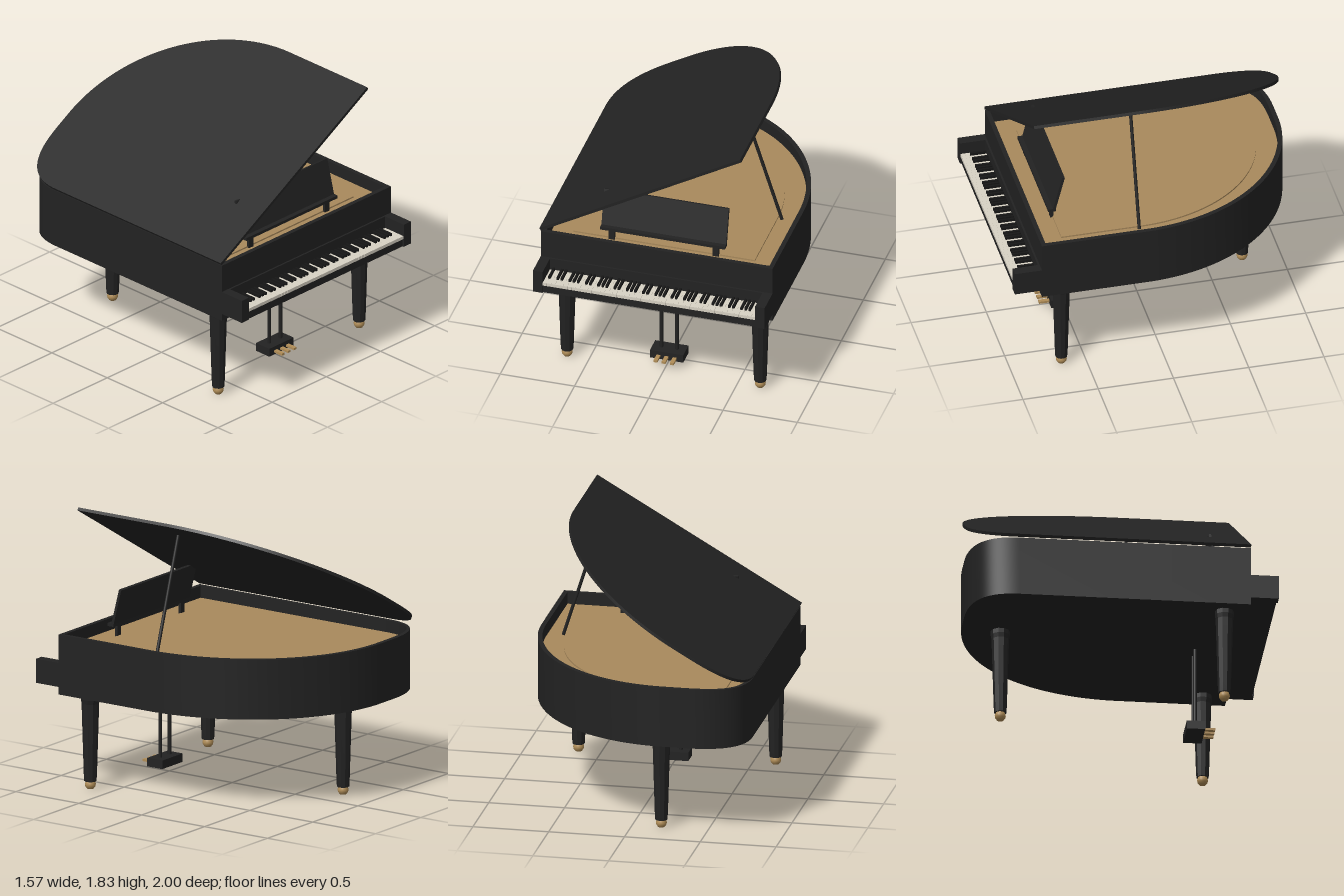
import * as THREE from 'three';
import { toCreasedNormals } from 'three/addons/utils/BufferGeometryUtils.js';

const material = (name, color) => {
  const m = new THREE.MeshStandardMaterial({ color });
  m.name = name;
  return m;
};

// Wing-shaped case outline, inset by d; shape y is -z
function outline(d, Type = THREE.Shape) {
  const s = new Type();
  const front = -0.82 + d;
  s.moveTo(-0.78 + d, front);
  s.lineTo(0.78 - d, front);
  s.lineTo(0.78 - d, -0.12);
  s.absellipse(-0.25, -0.12, 1.03 - d, 1.12 - d, 0, Math.PI / 2, false, 0);
  s.lineTo(-0.38, 1 - d);
  s.bezierCurveTo(-0.65, 1 - d, -0.78 + d, 0.9, -0.78 + d, 0.68);
  s.closePath();
  return s;
}

// Horizontal slab from y0 to y1
function slab(shape, y0, y1) {
  const g = new THREE.ExtrudeGeometry(shape, { depth: y1 - y0, bevelEnabled: false, curveSegments: 32 });
  g.rotateX(-Math.PI / 2);
  g.translate(0, y0, 0);
  return toCreasedNormals(g, 0.5);
}

export function createModel() {
  const black = material('ebony lacquer', 0x222222);
  const wood = material('soundboard gold', 0xa8895c);
  const brass = material('brass', 0xb08d57);
  const ivory = material('ivory', 0xd8d2c4);
  const sharpBlack = material('black key', 0x161616);

  const model = new THREE.Group();
  model.name = 'grandPiano';

  const add = (name, geometry, mat, parent = model) => {
    const mesh = new THREE.Mesh(geometry, mat);
    mesh.name = name;
    parent.add(mesh);
    return mesh;
  };
  // Box given by its limits
  const box = (name, x0, x1, y0, y1, z0, z1, mat, parent) => {
    const mesh = add(name, new THREE.BoxGeometry(x1 - x0, y1 - y0, z1 - z0), mat, parent);
    mesh.position.set((x0 + x1) / 2, (y0 + y1) / 2, (z0 + z1) / 2);
    return mesh;
  };
  const rod = (name, a, b, r, mat, parent) => {
    const dir = b.clone().sub(a);
    const mesh = add(name, new THREE.CylinderGeometry(r, r, dir.length(), 10), mat, parent);
    mesh.position.copy(a).add(b).multiplyScalar(0.5);
    mesh.quaternion.setFromUnitVectors(new THREE.Vector3(0, 1, 0), dir.normalize());
    return mesh;
  };

  // Case: rim, bottom, soundboard and inner plate
  const rim = outline(0);
  rim.holes.push(outline(0.03, THREE.Path));
  add('rim', slab(rim, 0.63, 1.03), black);
  add('caseBottom', slab(outline(0.03), 0.63, 0.66), black);
  add('soundboard', slab(outline(0.03), 0.93, 0.95), wood);
  add('innerPlate', slab(outline(0.17), 0.95, 0.96), wood);

  // Lid, hinged along the straight side
  const lid = new THREE.Group();
  lid.name = 'lid';
  lid.position.set(-0.78, 1.035, 0);
  lid.rotation.z = THREE.MathUtils.degToRad(30);
  const lidGeometry = slab(outline(0), 0, 0.02);
  lidGeometry.translate(0.78, 0, 0);
  add('lidPanel', lidGeometry, black, lid);
  model.add(lid);
  rod('lidProp', new THREE.Vector3(0.642, 0.96, 0.14), new THREE.Vector3(0.4, 1.72, 0.14), 0.011, black);

  // Music desk leaning back on its ledge
  box('deskLedge', -0.42, 0.42, 1.03, 1.05, 0.64, 0.69, black);
  for (const x of [-0.35, 0.35]) box('deskSupport', x - 0.02, x + 0.02, 0.95, 1.03, 0.645, 0.665, black);
  const desk = add('musicDesk', new THREE.BoxGeometry(0.84, 0.25, 0.018), black);
  desk.position.set(0, 1.164, 0.62);
  desk.rotation.x = -0.25;

  // Keyboard surround
  box('keyBed', -0.715, 0.715, 0.68, 0.735, 0.82, 0.99, black);
  box('fallboard', -0.715, 0.715, 0.735, 0.84, 0.82, 0.832, black);
  for (const s of [-1, 1]) {
    box('cheekBlock', Math.min(s * 0.715, s * 0.78), Math.max(s * 0.715, s * 0.78), 0.68, 0.84, 0.82, 1, black);
  }

  // 52 white keys starting at A, with 36 black keys between them
  const keys = new THREE.Group();
  keys.name = 'keys';
  model.add(keys);
  const w = 1.43 / 52;
  for (let i = 0; i < 52; i++) {
    const x = -0.715 + i * w;
    box('whiteKey', x + 0.0003, x + w - 0.0003, 0.735, 0.757, 0.832, 0.997, ivory, keys);
    const note = i % 7; // A B C D E F G
    if (i < 51 && note !== 1 && note !== 4) {
      box('blackKey', x + w - 0.0075, x + w + 0.0075, 0.757, 0.775, 0.832, 0.94, sharpBlack, keys);
    }
  }

  // Tapered faceted legs on brass casters
  const legProfile = [[0, 0.05], [0.04, 0.05], [0.043, 0.1], [0.057, 0.57], [0.062, 0.6], [0.062, 0.635]];
  const casterProfile = [[0, 0], [0.022, 0], [0.033, 0.015], [0.036, 0.03], [0.031, 0.048], [0.025, 0.055]];
  const lathe = (profile, n) => new THREE.LatheGeometry(profile.map(([r, y]) => new THREE.Vector2(r, y)), n);
  const legGeometry = toCreasedNormals(lathe(legProfile, 10), 0.1);
  const casterGeometry = lathe(casterProfile, 16);
  for (const [x, z] of [[-0.65, 0.66], [0.65, 0.66], [-0.19, -0.745]]) {
    const leg = new THREE.Group();
    leg.name = 'leg';
    leg.position.set(x, 0, z);
    add('legShaft', legGeometry, black, leg);
    add('caster', casterGeometry, brass, leg);
    model.add(leg);
  }

  // Pedal lyre
  const lyre = new THREE.Group();
  lyre.name = 'pedalLyre';
  model.add(lyre);
  for (const x of [-0.052, 0.052]) {
    rod('lyreRod', new THREE.Vector3(x, 0.09, 0.535), new THREE.Vector3(x, 0.635, 0.535), 0.012, black, lyre);
  }
  box('pedalBox', -0.112, 0.112, 0.04, 0.097, 0.475, 0.595, black, lyre);
  for (const x of [-0.055, 0, 0.055]) {
    box('pedal', x - 0.013, x + 0.013, 0.055, 0.07, 0.59, 0.665, brass, lyre);
  }

  return model;
}
